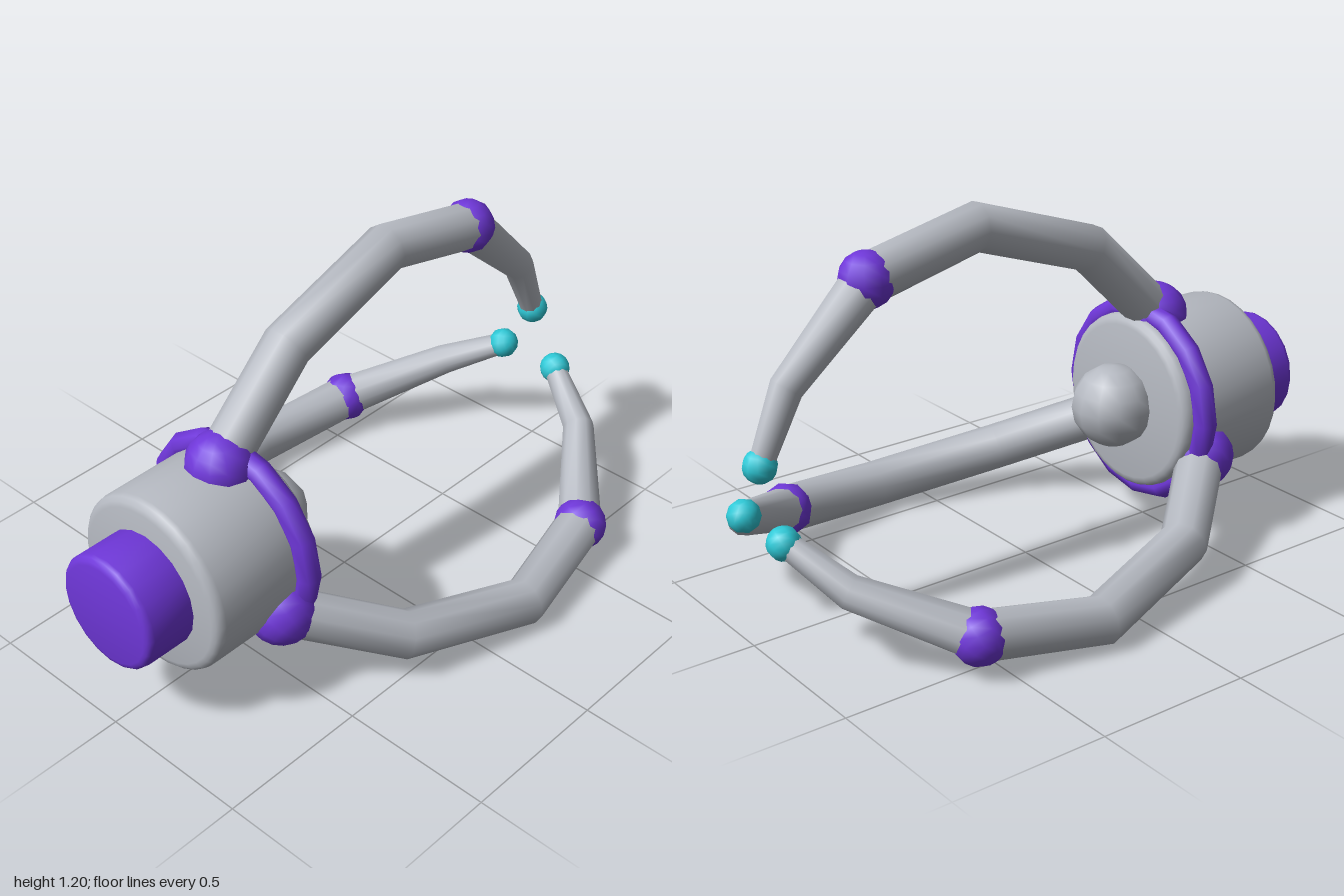
import * as THREE from 'three';
import { toCreasedNormals } from 'three/addons/utils/BufferGeometryUtils.js';

const material = (name, color) => {
  const m = new THREE.MeshStandardMaterial({ color });
  m.name = name;
  return m;
};

// Cylinder along z with rounded rims, from z0 to z1
function roundedDrum(radius, z0, z1, bevel, sides) {
  const pts = [new THREE.Vector2(0, z0)];
  for (let i = 0; i <= 3; i++) {
    const a = (i / 3) * Math.PI / 2;
    pts.push(new THREE.Vector2(radius - bevel + bevel * Math.sin(a), z0 + bevel - bevel * Math.cos(a)));
  }
  for (let i = 0; i <= 3; i++) {
    const a = (i / 3) * Math.PI / 2;
    pts.push(new THREE.Vector2(radius - bevel + bevel * Math.cos(a), z1 - bevel + bevel * Math.sin(a)));
  }
  pts.push(new THREE.Vector2(0, z1));
  const g = new THREE.LatheGeometry(pts, sides);
  g.rotateX(Math.PI / 2);
  return toCreasedNormals(g, 0.7);
}

// Tapered tube through [y, z, radius] points in the plane x = 0
function limb(path, sides = 10) {
  const pos = [], idx = [];
  path.forEach(([y, z, r], i) => {
    const a = path[Math.max(i - 1, 0)], b = path[Math.min(i + 1, path.length - 1)];
    const t = new THREE.Vector2(b[0] - a[0], b[1] - a[1]).normalize();
    for (let k = 0; k < sides; k++) {
      const u = (k / sides) * Math.PI * 2;
      const c = Math.cos(u) * r, s = Math.sin(u) * r;
      pos.push(c, y - t.y * s, z + t.x * s);
      if (i > 0) {
        const n = (k + 1) % sides, p = (i - 1) * sides, q = i * sides;
        idx.push(p + k, q + k, p + n, p + n, q + k, q + n);
      }
    }
  });
  // End caps
  const last = (path.length - 1) * sides;
  for (let k = 1; k < sides - 1; k++) {
    idx.push(0, k, k + 1, last, last + k + 1, last + k);
  }
  const g = new THREE.BufferGeometry();
  g.setAttribute('position', new THREE.Float32BufferAttribute(pos, 3));
  g.setIndex(idx);
  return toCreasedNormals(g, 1.0);
}

export function createModel() {
  const grey = material('light grey metal', 0xb6bac2);
  const purple = material('purple', 0x6f37d9);
  const cyan = material('cyan', 0x2ecad8);

  const claw = new THREE.Group();
  claw.name = 'claw';
  claw.position.y = 0.427;

  const add = (parent, name, geometry, mat, y = 0, z = 0) => {
    const mesh = new THREE.Mesh(geometry, mat);
    mesh.name = name;
    mesh.position.set(0, y, z);
    parent.add(mesh);
  };

  // Hub
  add(claw, 'mount', roundedDrum(0.188, 0.78, 1.0, 0.025, 20), purple);
  add(claw, 'hub', roundedDrum(0.292, 0.41, 0.83, 0.032, 32), grey);
  add(claw, 'collar', new THREE.TorusGeometry(0.305, 0.04, 8, 16), purple, 0, 0.482);
  add(claw, 'palmBall', new THREE.SphereGeometry(0.137, 12, 8), grey, 0, 0.36);

  // Shared finger shapes
  const shoulder = new THREE.SphereGeometry(0.108, 12, 10);
  const knuckle = new THREE.SphereGeometry(0.087, 10, 8);
  const tip = new THREE.SphereGeometry(0.052, 10, 8);
  const upper = limb([
    [0.28, 0.53, 0.077], [0.556, 0.245, 0.077], [0.7, -0.185, 0.077], [0.612, -0.57, 0.077],
  ]);
  const lower = limb([
    [0.612, -0.57, 0.073], [0.346, -0.85, 0.053], [0.132, -0.945, 0.038],
  ]);

  // Three fingers around the axis
  ['top', 'right', 'left'].forEach((side, i) => {
    const finger = new THREE.Group();
    finger.name = side + 'Finger';
    finger.rotation.z = (i * Math.PI * 2) / 3;
    add(finger, 'shoulder', shoulder, purple, 0.278, 0.53);
    add(finger, 'upperSegment', upper, grey);
    add(finger, 'knuckle', knuckle, purple, 0.612, -0.572);
    add(finger, 'lowerSegment', lower, grey);
    add(finger, 'fingertip', tip, cyan, 0.132, -0.947);
    claw.add(finger);
  });

  const model = new THREE.Group();
  model.name = 'threeFingerClaw';
  model.add(claw);
  return model;
}
